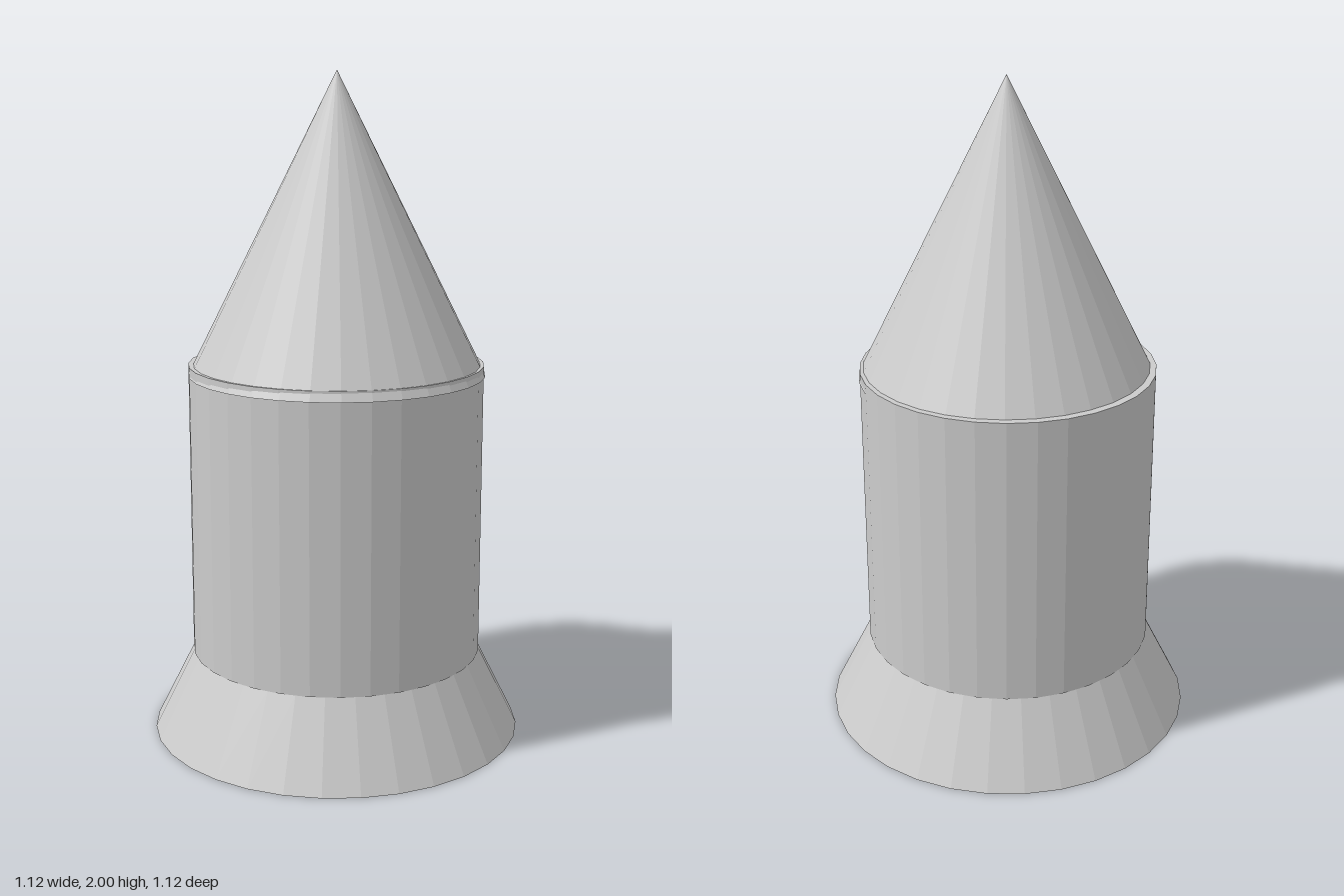
import * as THREE from 'three';

const SIDES = 32;

export function createModel() {
  const model = new THREE.Group();
  const material = new THREE.MeshStandardMaterial({ color: 0xcccccc, flatShading: true });

  // Upright round section standing on height y0
  function addSection(name, rTop, rBottom, y0, y1, x = 0, z = 0, turn = 0) {
    const geometry = rTop === 0
      ? new THREE.ConeGeometry(rBottom, y1 - y0, SIDES)
      : new THREE.CylinderGeometry(rTop, rBottom, y1 - y0, SIDES);
    const mesh = new THREE.Mesh(geometry, material);
    mesh.name = name;
    mesh.position.set(x, (y0 + y1) / 2, z);
    mesh.rotation.y = turn;
    model.add(mesh);
  }

  // Flared foot, turned half a facet against the body
  addSection('flaredBase', 0.44, 0.565, 0, 0.25, 0, 0, Math.PI / SIDES);

  // Straight body with a flat top rim
  addSection('body', 0.444, 0.444, 0.25, 1.14);

  // Pointed nose, slightly off centre, sunk a little into the body
  addSection('noseCone', 0, 0.445, 1.11, 2, -0.006, 0.009);

  return model;
}
